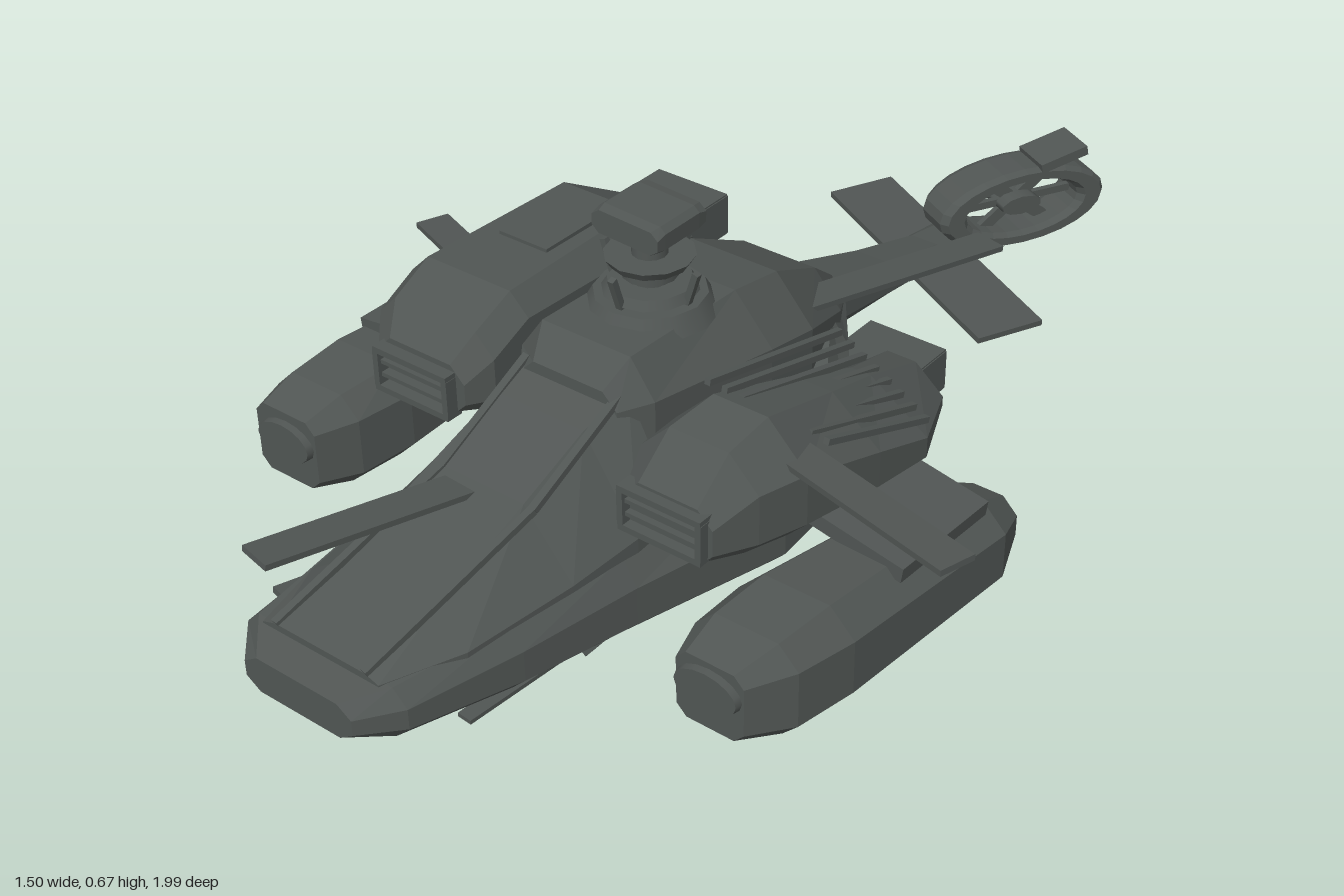
import * as THREE from 'three';

const hullGrey = new THREE.MeshStandardMaterial({ color: 0x505553 });
hullGrey.name = 'hullGrey';

// Chamfered cross-section; top inset (tx, ty), bottom inset (bx, by).
function section([z, x0, x1, y0, y1, tx = 0.04, ty = 0.04, bx = tx, by = ty]) {
  return [[x0 + bx, y0], [x1 - bx, y0], [x1, y0 + by], [x1, y1 - ty],
    [x1 - tx, y1], [x0 + tx, y1], [x0, y1 - ty], [x0, y0 + by]].map(([x, y]) => new THREE.Vector3(x, y, z));
}

// Faceted body through sections listed from front to back.
function loft(stations) {
  const rings = stations.map(section), pos = [];
  const tri = (...ps) => ps.forEach(p => pos.push(p.x, p.y, p.z));
  for (let i = 0; i < rings.length - 1; i++) {
    for (let j = 0; j < 8; j++) {
      const k = (j + 1) % 8, a = rings[i], b = rings[i + 1];
      tri(a[j], b[k], a[k]);
      tri(a[j], b[j], b[k]);
    }
  }
  const front = rings[0], back = rings[rings.length - 1];
  for (let j = 1; j < 7; j++) {
    tri(front[0], front[j], front[j + 1]);
    tri(back[0], back[j + 1], back[j]);
  }
  const g = new THREE.BufferGeometry();
  g.setAttribute('position', new THREE.Float32BufferAttribute(pos, 3));
  g.computeVertexNormals();
  return g;
}

export function createModel() {
  const model = new THREE.Group();
  model.name = 'wreckedGunship';
  const add = (name, geometry, x = 0, y = 0, z = 0, parent = model) => {
    const m = new THREE.Mesh(geometry, hullGrey);
    m.name = name;
    m.position.set(x, y, z);
    parent.add(m);
    return m;
  };
  const box = (name, x, y, z, w, h, d) => add(name, new THREE.BoxGeometry(w, h, d), x, y, z);
  // Straight bar of width w and height h between two points.
  const beam = (name, a, b, w, h) => {
    const p = new THREE.Vector3(...a), q = new THREE.Vector3(...b);
    const m = box(name, 0, 0, 0, w, h, p.distanceTo(q));
    m.position.copy(p).add(q).multiplyScalar(0.5);
    m.lookAt(q);
    return m;
  };

  // Lower hull
  add('hull', loft([
    [0.985, -0.24, 0.0, 0.05, 0.12, 0.03, 0.02],
    [0.92, -0.30, 0.06, 0.04, 0.14, 0.03, 0.03],
    [0.72, -0.305, 0.125, 0.035, 0.165, 0.03, 0.04, 0.03, 0.03],
    [0.5, -0.30, 0.18, 0.035, 0.19, 0.03, 0.05, 0.03, 0.03],
    [0.2, -0.28, 0.265, 0.035, 0.23, 0.06, 0.08, 0.03, 0.03],
    [0.0, -0.25, 0.265, 0.05, 0.28, 0.06, 0.10, 0.04, 0.04],
    [-0.15, -0.17, 0.15, 0.15, 0.32, 0.04, 0.05],
    [-0.27, -0.10, 0.06, 0.20, 0.30, 0.03, 0.03]]));
  // Cockpit glazing and roof pylon
  add('canopy', loft([
    [0.93, -0.25, 0.01, 0.12, 0.15, 0.03, 0.01, 0, 0.005],
    [0.8, -0.27, 0.08, 0.12, 0.205, 0.07, 0.05, 0, 0.02],
    [0.6, -0.27, 0.13, 0.13, 0.305, 0.10, 0.12, 0, 0.03],
    [0.47, -0.25, 0.16, 0.14, 0.385, 0.11, 0.17, 0, 0.03],
    [0.39, -0.22, 0.17, 0.15, 0.43, 0.09, 0.18, 0, 0.03]]));
  add('roofPylon', loft([
    [0.42, -0.13, 0.08, 0.30, 0.435, 0.03, 0.03, 0, 0.02],
    [0.37, -0.17, 0.12, 0.28, 0.485, 0.05, 0.07, 0, 0.02],
    [0.1, -0.19, 0.16, 0.28, 0.485, 0.08, 0.09, 0, 0.02],
    [-0.02, -0.19, 0.16, 0.25, 0.465, 0.08, 0.09, 0, 0.02],
    [-0.18, -0.17, 0.11, 0.22, 0.385, 0.06, 0.07, 0.03, 0.04],
    [-0.28, -0.10, 0.05, 0.21, 0.31, 0.03, 0.04]]));
  // Canopy frames
  for (const [x0, x1] of [[-0.22, -0.15], [-0.02, 0.05]]) {
    beam('canopyFrame', [x0, 0.15, 0.93], [x1, 0.303, 0.60], 0.015, 0.012);
    beam('canopyFrame', [x1, 0.303, 0.60], [x1 + 0.02, 0.425, 0.40], 0.015, 0.012);
  }

  // Tail boom and stabiliser
  add('tailBoom', loft([
    [-0.25, -0.10, 0.06, 0.20, 0.315, 0.03, 0.04],
    [-0.45, -0.065, 0.06, 0.19, 0.262, 0.025, 0.025],
    [-0.62, -0.04, 0.06, 0.18, 0.225, 0.02, 0.015],
    [-0.72, -0.03, 0.07, 0.185, 0.215, 0.02, 0.01]]));
  beam('stabiliser', [-0.245, 0.195, -0.77], [0.275, 0.16, -0.52], 0.145, 0.012);

  // Ducted tail fan, squashed into an oval
  const fan = new THREE.Group();
  fan.name = 'tailFan';
  fan.position.set(0.095, 0.263, -0.815);
  fan.rotation.set(0, 1.07, 0);
  fan.scale.y = 0.44;
  model.add(fan);
  const duct = new THREE.Shape().absarc(0, 0, 0.188, 0, Math.PI * 2);
  duct.holes.push(new THREE.Path().absarc(0, 0, 0.128, 0, Math.PI * 2, true));
  add('fanDuct', new THREE.ExtrudeGeometry(duct, {
    depth: 0.07, curveSegments: 12, bevelThickness: 0.015, bevelSize: 0.012, bevelOffset: -0.012, bevelSegments: 1,
  }), 0, 0, -0.035, fan);
  add('fanHub', new THREE.CylinderGeometry(0.045, 0.045, 0.07, 10).rotateX(Math.PI / 2), 0, 0, 0, fan);
  for (let i = 0; i < 6; i++) {
    const blade = add('fanBlade', new THREE.BoxGeometry(0.11, 0.035, 0.012).translate(0.085, 0, 0), 0, 0, 0, fan);
    blade.rotation.z = i * Math.PI / 3;
  }
  beam('tailFin', [0.115, 0.345, -0.84], [0.165, 0.367, -0.93], 0.09, 0.02);

  // Engine nacelles; the left one has slumped backwards
  add('rightEngine', loft([
    [0.485, -0.40, -0.20, 0.32, 0.41, 0.03, 0.03, 0.02, 0.02],
    [0.44, -0.435, -0.17, 0.31, 0.46, 0.04, 0.04, 0.03, 0.03],
    [0.35, -0.44, -0.17, 0.305, 0.498, 0.04, 0.04, 0.03, 0.05],
    [0.0, -0.44, -0.17, 0.29, 0.495, 0.05, 0.05, 0.04, 0.05],
    [-0.14, -0.40, -0.20, 0.31, 0.42, 0.04, 0.04]]));
  add('leftEngine', loft([
    [0.49, 0.15, 0.33, 0.25, 0.35, 0.03, 0.03, 0.02, 0.02],
    [0.42, 0.13, 0.37, 0.24, 0.425, 0.06, 0.06, 0.03, 0.03],
    [0.33, 0.13, 0.40, 0.23, 0.448, 0.08, 0.08, 0.04, 0.04],
    [0.15, 0.14, 0.42, 0.21, 0.40, 0.10, 0.08, 0.05, 0.04],
    [0.02, 0.15, 0.43, 0.20, 0.36, 0.12, 0.08, 0.05, 0.04],
    [-0.14, 0.18, 0.36, 0.18, 0.30, 0.06, 0.05]]));
  for (const [side, x, y, ex, ey] of [['right', -0.305, 0.355, -0.295, 0.37], ['left', 0.235, 0.30, 0.205, 0.215]]) {
    // Framed intake with two slats
    for (const s of [-1, 1]) {
      box(side + 'IntakeRim', x, y + s * 0.038, 0.492, 0.17, 0.012, 0.035);
      box(side + 'IntakeSide', x + s * 0.08, y, 0.492, 0.012, 0.07, 0.035);
      box(side + 'IntakeSlat', x, y + s * 0.013, 0.49, 0.16, 0.008, 0.025);
    }
    // Hollow rectangular exhaust
    for (const s of [-1, 1]) {
      box(side + 'ExhaustSide', ex + s * 0.077, ey, -0.19, 0.015, 0.08, 0.145);
      box(side + 'ExhaustPlate', ex, ey + s * 0.037, -0.19, 0.165, 0.012, 0.145);
    }
    box(side + 'ExhaustCore', ex, ey, -0.16, 0.15, 0.07, 0.06);
  }
  box('engineHatch', -0.30, 0.499, 0.15, 0.11, 0.009, 0.13);
  // Torn ribs fanned along the left engine
  for (let i = 0; i < 8; i++)
    beam('tornRib', [0.19 + i * 0.027, 0.458 - i * 0.011, 0.32 - i * 0.01],
      [0.21 + i * 0.029, 0.385 - i * 0.012, -0.03 + i * 0.004], 0.012, 0.012);

  // Side pods on stub wings
  add('rightPod', loft([
    [0.60, -0.605, -0.46, 0.11, 0.25, 0.02, 0.02],
    [0.53, -0.62, -0.42, 0.10, 0.28, 0.04, 0.04, 0.03, 0.03],
    [0.42, -0.615, -0.40, 0.10, 0.295, 0.04, 0.05, 0.04, 0.04],
    [0.02, -0.575, -0.41, 0.11, 0.295, 0.04, 0.05, 0.04, 0.04],
    [-0.06, -0.54, -0.44, 0.15, 0.27, 0.03, 0.03]]));
  add('leftPod', loft([
    [0.60, 0.34, 0.475, 0.03, 0.165, 0.02, 0.02],
    [0.53, 0.325, 0.53, 0.02, 0.20, 0.04, 0.04, 0.03, 0.03],
    [0.42, 0.33, 0.56, 0.02, 0.215, 0.05, 0.05, 0.04, 0.04],
    [0.02, 0.405, 0.595, 0.02, 0.20, 0.05, 0.05, 0.04, 0.04],
    [-0.06, 0.45, 0.57, 0.06, 0.16, 0.03, 0.03]]));
  for (const [name, x, y] of [['rightPodCap', -0.53, 0.195], ['leftPodCap', 0.407, 0.115]])
    add(name, new THREE.CylinderGeometry(0.062, 0.066, 0.02, 16).rotateX(Math.PI / 2).scale(1, 0.6, 1), x, y, 0.603);
  beam('rightStubWing', [-0.25, 0.335, 0.20], [-0.575, 0.298, 0.20], 0.32, 0.025);
  beam('leftStubWing', [0.18, 0.26, 0.14], [0.56, 0.205, 0.16], 0.24, 0.03);

  // Rotor head
  const mx = -0.02, mz = 0.205;
  for (const [name, r0, r1, y, h] of [
    ['mastCollar', 0.10, 0.12, 0.485, 0.035], ['mast', 0.03, 0.035, 0.56, 0.14],
    ['lowerSwashplate', 0.075, 0.085, 0.515, 0.016], ['middleSwashplate', 0.05, 0.05, 0.542, 0.014],
    ['upperSwashplate', 0.08, 0.07, 0.567, 0.016], ['hubNeck', 0.035, 0.03, 0.60, 0.03]])
    add(name, new THREE.CylinderGeometry(r0, r1, h, 12), mx, y, mz);
  for (let i = 0; i < 4; i++) {
    const a = i * Math.PI / 2, c = Math.cos(a), s = Math.sin(a);
    beam('controlRod', [mx + c * 0.075, 0.49, mz + s * 0.075], [mx + c * 0.1, 0.567, mz + s * 0.1], 0.012, 0.012);
  }
  const head = add('rotorHead', loft([
    [0.065, -0.07, 0.07, -0.024, 0.02, 0.015, 0.012],
    [0.045, -0.071, 0.071, -0.026, 0.024, 0.012, 0.01],
    [-0.045, -0.071, 0.071, -0.026, 0.024, 0.012, 0.01],
    [-0.065, -0.07, 0.07, -0.024, 0.02, 0.015, 0.012]]), mx, 0.643, mz);
  head.rotation.z = -0.05;

  // Snapped rotor blades; the front one has pierced the canopy
  for (const [a, b] of [
    [[-0.07, 0.275, 0.48], [-0.175, 0.342, 0.99]],
    [[-0.46, 0.302, 0.11], [-0.74, 0.293, 0.0]],
    [[0.24, 0.375, 0.275], [0.74, 0.408, 0.425]],
    [[0.09, 0.375, -0.08], [0.20, 0.32, -0.55]]])
    beam('rotorBlade', a, b, 0.068, 0.011);

  // Landing skids and struts
  beam('rightSkid', [-0.345, 0.045, 0.05], [-0.345, 0.045, 0.72], 0.035, 0.012);
  beam('rightSkidTip', [-0.345, 0.045, 0.71], [-0.365, 0.055, 0.80], 0.035, 0.012);
  beam('leftSkid', [0.13, 0.006, -0.03], [0.06, 0.006, 0.80], 0.03, 0.008);
  beam('rightSkidStrut', [-0.345, 0.05, 0.15], [-0.24, 0.14, 0.15], 0.025, 0.015);
  for (const z of [0.12, 0.55])
    beam('leftSkidStrut', [0.11, 0.008, z], [0.15, 0.06, z], 0.025, 0.015);
  return model;
}
